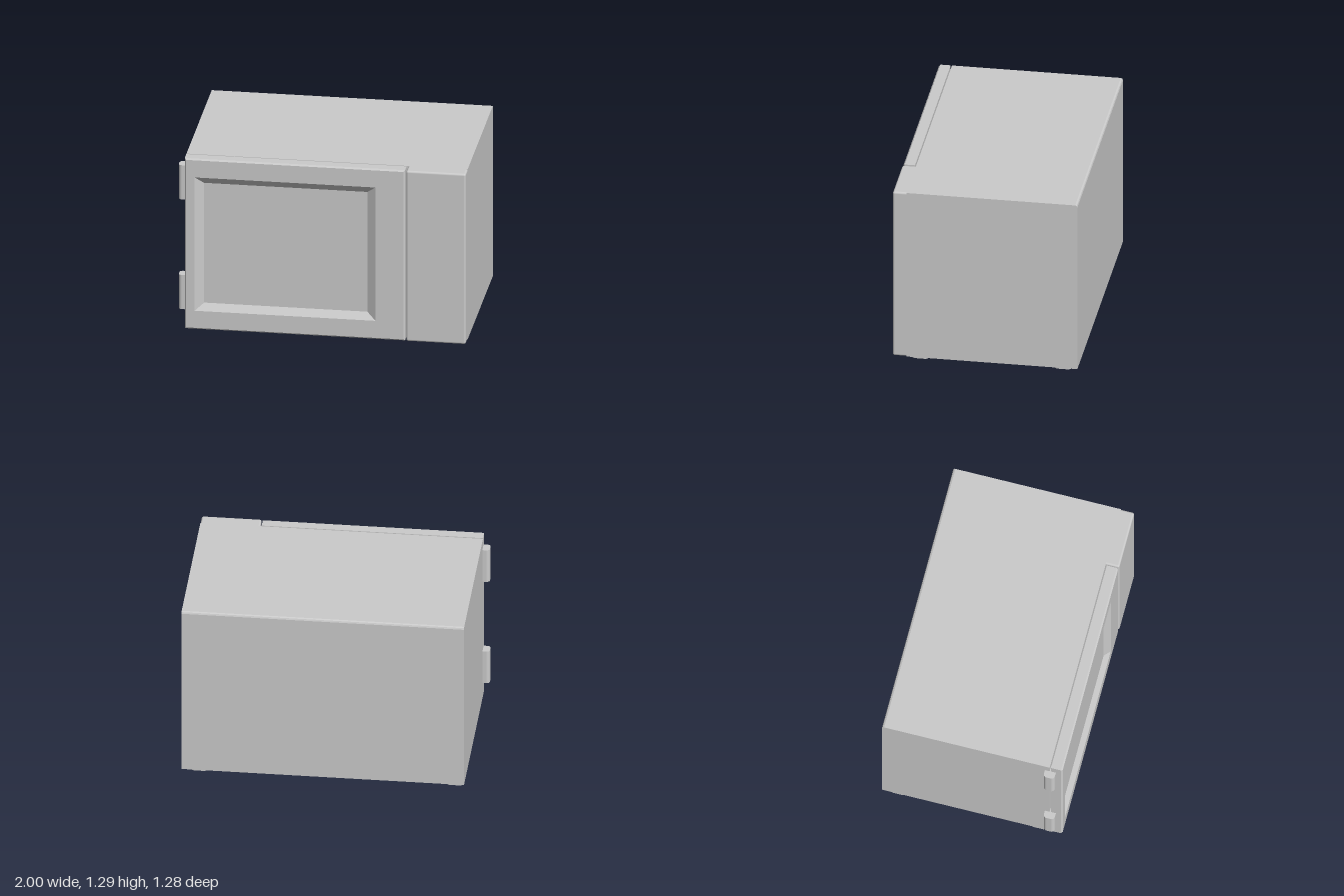
import * as THREE from 'three';
import { RoundedBoxGeometry } from 'three/addons/geometries/RoundedBoxGeometry.js';

const flat = new THREE.MeshStandardMaterial({ color: 0xcccccc, flatShading: true });
const smooth = new THREE.MeshStandardMaterial({ color: 0xcccccc });
const BOTTOM = 0.036, TOP = 1.292;

function add(parent, name, geometry, material, x = 0, y = 0, z = 0) {
  const mesh = new THREE.Mesh(geometry, material);
  mesh.name = name;
  mesh.position.set(x, y, z);
  parent.add(mesh);
  return mesh;
}

// Closed solid through rectangular rings [x0, x1, y0, y1, z], capped at both ends
function rectLoft(rings) {
  const pos = [], index = [];
  for (const [x0, x1, y0, y1, z] of rings) pos.push(x0, y0, z, x1, y0, z, x1, y1, z, x0, y1, z);
  for (let r = 0; r < rings.length - 1; r++) {
    for (let i = 0; i < 4; i++) {
      const a = r * 4 + i, b = r * 4 + (i + 1) % 4;
      index.push(a, b, b + 4, a, b + 4, a + 4);
    }
  }
  const e = (rings.length - 1) * 4;
  index.push(0, 2, 1, 0, 3, 2, e, e + 1, e + 2, e, e + 2, e + 3);
  const g = new THREE.BufferGeometry();
  g.setAttribute('position', new THREE.Float32BufferAttribute(pos, 3));
  g.setIndex(index);
  const out = g.toNonIndexed();
  out.computeVertexNormals();
  return out;
}

// Rounded rectangle, extruded upwards along y
function roundedPrism(w, d, r, h) {
  const s = new THREE.Shape(), x = w / 2, y = d / 2;
  s.moveTo(-x + r, -y).lineTo(x - r, -y).absarc(x - r, -y + r, r, -Math.PI / 2, 0);
  s.lineTo(x, y - r).absarc(x - r, y - r, r, 0, Math.PI / 2);
  s.lineTo(-x + r, y).absarc(-x + r, y - r, r, Math.PI / 2, Math.PI);
  s.lineTo(-x, -y + r).absarc(-x + r, -y + r, r, Math.PI, Math.PI * 1.5);
  return new THREE.ExtrudeGeometry(s, { depth: h, bevelEnabled: false, curveSegments: 6 }).rotateX(-Math.PI / 2);
}

export function createModel() {
  const model = new THREE.Group();
  model.name = 'microwave';

  // Cabinet: side profile with a softened top rear edge, extruded across x
  const c = 0.015;
  const side = new THREE.Shape();
  side.moveTo(-0.545, BOTTOM).lineTo(0.64, BOTTOM).lineTo(0.64, TOP - c);
  side.lineTo(0.64 - c * 0.3, TOP - c * 0.3).lineTo(0.64 - c, TOP).lineTo(-0.545, TOP);
  const cabinet = new THREE.ExtrudeGeometry(side, { depth: 1.945, bevelEnabled: false });
  cabinet.rotateY(Math.PI / 2);
  add(model, 'cabinet', cabinet, flat, -0.95);

  // Control panel block beside the door, overlapping into the cabinet
  add(model, 'controlPanel', new RoundedBoxGeometry(0.412, TOP - BOTTOM, 0.24, 3, 0.014), smooth,
    0.789, (TOP + BOTTOM) / 2, 0.52);

  // Door with chamfered front edge and sloped window recess
  const door = new THREE.Group();
  door.name = 'door';
  model.add(door);
  add(door, 'doorPanel', rectLoft([
    [-0.95, 0.574, BOTTOM, TOP, 0.554],
    [-0.95, 0.574, BOTTOM, TOP, 0.625],
    [-0.94, 0.564, BOTTOM + 0.01, TOP - 0.01, 0.635],
    [-0.88, 0.37, 0.172, 1.156, 0.635],
    [-0.82, 0.31, 0.222, 1.106, 0.6],
  ]), flat);

  // Hinges on the door side
  for (const y of [0.16, 0.97]) {
    add(model, 'hinge', roundedPrism(0.09, 0.078, 0.024, 0.252), smooth, -0.955, y, 0.55);
  }

  // Four rounded square feet
  for (const x of [-0.88, 0.88]) {
    for (const z of [0.46, -0.53]) {
      add(model, 'foot', roundedPrism(0.12, 0.12, 0.028, 0.05), smooth, x, 0, z);
    }
  }
  return model;
}
